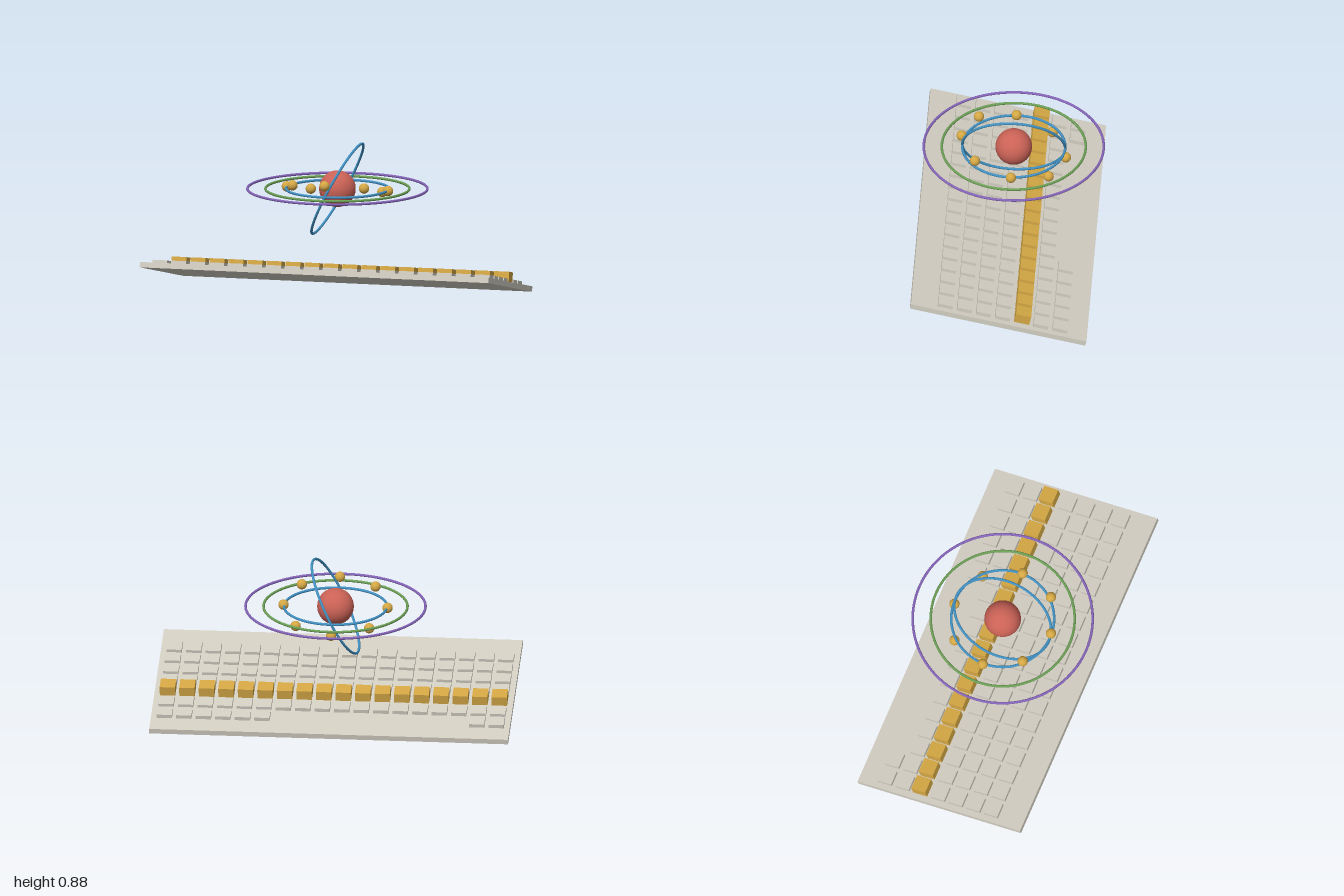
import * as THREE from 'three';

const material = (name, color) => {
  const m = new THREE.MeshStandardMaterial({ color });
  m.name = name;
  return m;
};

export function createModel() {
  const stone = material('warm grey', 0xd2cec2);
  const gold = material('gold', 0xd4a744);
  const red = material('red', 0xcb6256);
  const blue = material('blue', 0x4090c2);
  const green = material('green', 0x6a9e54);
  const purple = material('purple', 0x8463b8);

  const model = new THREE.Group();
  const add = (parent, name, geometry, mat, x = 0, y = 0, z = 0) => {
    const mesh = new THREE.Mesh(geometry, mat);
    mesh.name = name;
    mesh.position.set(x, y, z);
    parent.add(mesh);
    return mesh;
  };

  // Sloping board, high at the front
  const board = new THREE.Group();
  board.name = 'board';
  board.position.set(0, 0.124, 0.024);
  board.rotation.x = -0.22;
  model.add(board);
  const thickness = 0.03;
  add(board, 'slab', new THREE.BoxGeometry(2, thickness, 1), stone);

  // Grid of tiles: 7 rows of 18, the back row with a gap, the third row raised
  const pitch = 0.1088;
  const tile = new THREE.BoxGeometry(0.085, 0.021, 0.084);
  const raisedTile = new THREE.BoxGeometry(0.086, 0.054, 0.086);
  for (let row = 0; row < 7; row++) {
    for (let col = 0; col < 18; col++) {
      if (row === 0 && col > 1 && col < 12) continue;
      const raised = row === 2;
      add(board, raised ? 'raisedTile' : 'tile', raised ? raisedTile : tile, raised ? gold : stone,
        (col - 8.5) * pitch, thickness / 2 + (raised ? 0.033 : 0.0105), -0.018 + (row - 3) * pitch);
    }
  }

  // Atom floating above the board
  const atom = new THREE.Group();
  atom.name = 'atom';
  atom.position.set(0, 0.616, -0.008);
  model.add(atom);
  add(atom, 'nucleus', new THREE.SphereGeometry(0.102, 40, 28), red);

  // Three level orbits and one steep orbit
  const orbit = (name, radius, mat, tilt = 0) => {
    const ring = new THREE.TorusGeometry(radius, 0.0072, 12, 96).rotateX(Math.PI / 2);
    add(atom, name, ring, mat).rotation.z = tilt;
  };
  orbit('innerOrbit', 0.286, blue);
  orbit('middleOrbit', 0.4, green);
  orbit('outerOrbit', 0.5, purple);
  orbit('steepOrbit', 0.286, blue, 1.1);

  // Eight electrons on a gently sloping circle
  const electron = new THREE.SphereGeometry(0.0288, 24, 16);
  for (let i = 0; i < 8; i++) {
    const a = (i * Math.PI) / 4;
    add(atom, 'electron', electron, gold, 0.29 * Math.cos(a), 0.064 * Math.sin(a), 0.29 * Math.sin(a));
  }
  return model;
}
